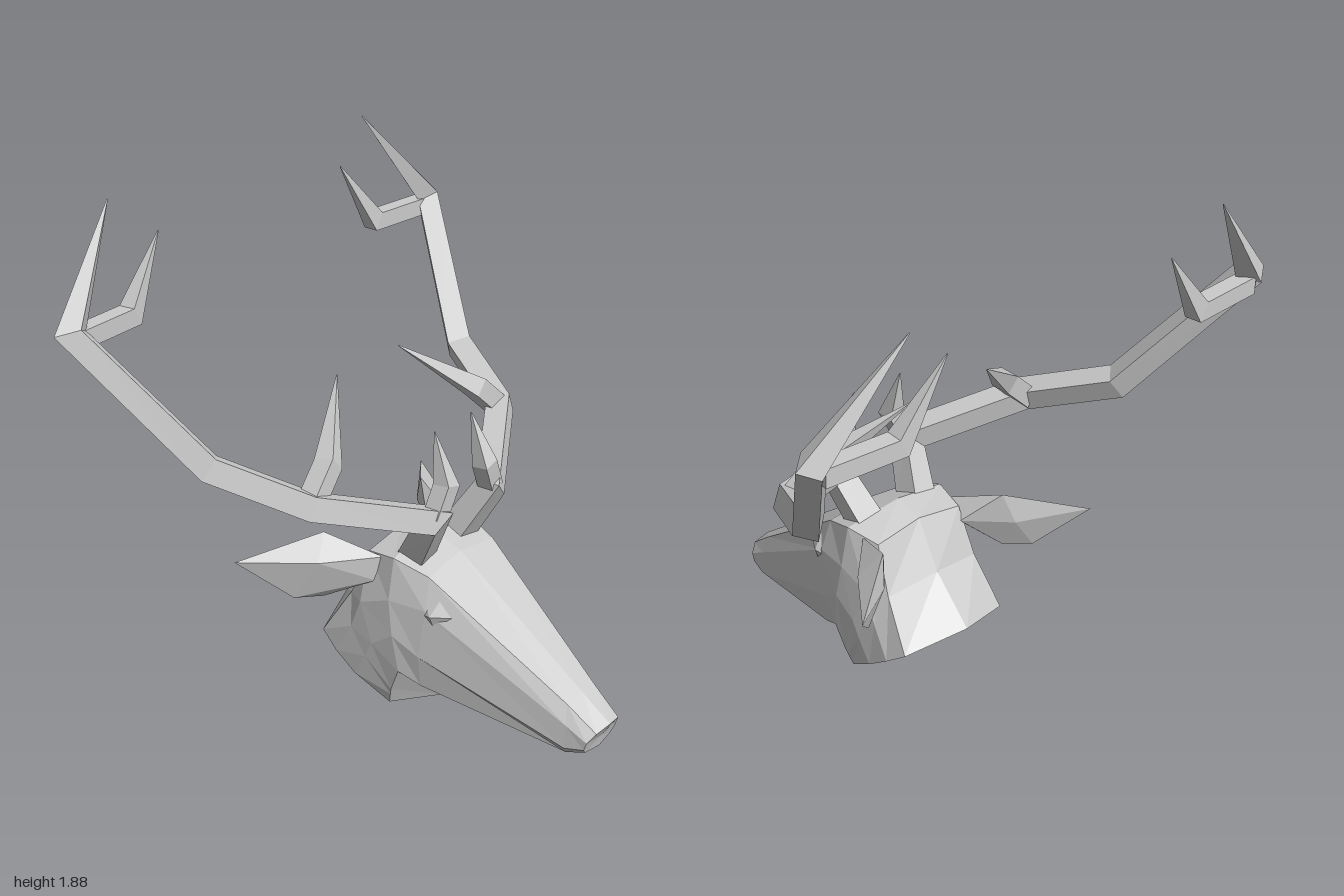
import * as THREE from 'three';
import { ConvexGeometry } from 'three/addons/geometries/ConvexGeometry.js';

const V = (x, y, z) => new THREE.Vector3(x, y, z);
const material = new THREE.MeshStandardMaterial({ color: 0xcccccc, flatShading: true });

// Faceted solid through closed rings of equal length, capped at both ends
function loft(rings) {
  const tris = [];
  const n = rings[0].length;
  for (let r = 0; r < rings.length - 1; r++) {
    for (let i = 0; i < n; i++) {
      const j = (i + 1) % n;
      const a = rings[r][i], b = rings[r][j], c = rings[r + 1][j], d = rings[r + 1][i];
      tris.push([a, b, c], [a, c, d]);
    }
  }
  const cap = (ring, flip) => {
    const mid = ring.reduce((s, p) => s.add(p), V(0, 0, 0)).divideScalar(n);
    ring.forEach((p, i) => {
      const q = ring[(i + 1) % n];
      tris.push(flip ? [mid, q, p] : [mid, p, q]);
    });
  };
  cap(rings[0], true);
  cap(rings[rings.length - 1], false);
  // turn the faces outward whichever way the rings run
  const volume = tris.reduce((s, [a, b, c]) => s + a.dot(b.clone().cross(c)), 0);
  const points = tris.flatMap(([a, b, c]) => (volume < 0 ? [a, c, b] : [a, b, c]));
  const geometry = new THREE.BufferGeometry().setFromPoints(points);
  geometry.computeVertexNormals();
  return geometry;
}

// Square bar along a path of [x, y, z, radius], mitred at the bends, ending in a point
function bar(path, side) {
  const pts = path.map(([x, y, z]) => V(x * side, y, z));
  const dirs = pts.slice(1).map((p, i) => p.clone().sub(pts[i]).normalize());
  const u = V(0, 0, 1).cross(dirs[0]).normalize();
  const v = dirs[0].clone().cross(u);
  let offsets = [[1, 1], [-1, 1], [-1, -1], [1, -1]].map(([a, b]) =>
    u.clone().multiplyScalar(a * Math.SQRT1_2).addScaledVector(v, b * Math.SQRT1_2));
  const rings = pts.map((p, i) => {
    const din = dirs[Math.max(i - 1, 0)], dout = dirs[Math.min(i, dirs.length - 1)];
    const m = din.clone().add(dout).normalize();
    offsets = offsets.map((o) => o.clone().addScaledVector(din, -o.dot(m) / din.dot(m)));
    const radius = path[i][3] ?? 0.002;
    return offsets.map((o) => p.clone().addScaledVector(o, radius));
  });
  return loft(rings);
}

// Half cross-sections from top centre round to bottom centre
const headSections = [
  // nose tip
  [[0, .15, .79], [.07, .14, .78], [.1, .11, .76], [.1, .08, .75], [.08, .06, .745], [0, .05, .75]],
  // muzzle
  [[0, .235, .675], [.085, .225, .67], [.112, .16, .68], [.115, .07, .68], [.085, .035, .67], [0, .018, .66]],
  // brow
  [[0, .62, .155], [.19, .595, .16], [.225, .48, .17], [.24, .3, .15], [.225, .18, .15], [0, .006, .19]],
  // crown and jaw corner
  [[0, .68, .01], [.218, .64, .03], [.25, .49, .03], [.26, .36, .05], [.25, .22, .07], [0, .01, .085]],
  // back of the skull
  [[0, .65, -.1], [.19, .62, -.1], [.245, .44, -.1], [.26, .3, -.04], [.24, .13, .03], [0, .01, .082]],
  // neck cut
  [[0, .31, -.355], [.23, .262, -.285], [.25, .21, -.21], [.255, .15, -.122], [.22, .06, .008], [0, .01, .08]],
];

// Full head ring from a half section
const mirrorSection = (half) => [
  ...half.map((p) => V(...p)),
  ...half.slice(1, -1).reverse().map(([x, y, z]) => V(-x, y, z)),
];

function headGeometry() {
  const rings = headSections.map(mirrorSection);
  // nape: between skull and neck cut, hollowed along the top
  const skull = rings[4], cut = rings[5];
  const nape = skull.map((p, i) => {
    const q = p.clone().lerp(cut[i], 0.38);
    q.y -= 0.15 * Math.max(0, q.y - 0.2);
    return q;
  });
  rings.splice(5, 0, nape);
  return loft(rings);
}

const antlerParts = {
  Beam: [[.12, .62, .05, .07], [.17, .805, .16, .06], [.54, .935, -.06, .06],
    [.7, 1.05, -.36, .06], [.95, 1.52, -.7, .055], [.662, 1.88, -.79]],
  BrowTine: [[.165, .81, .165, .045], [.112, .92, .175, .045], [.105, 1.1, .12]],
  MiddleTine: [[.54, .93, -.07, .05], [.42, 1.04, -.085, .05], [.172, 1.24, -.245]],
  TopTine: [[.93, 1.49, -.71, .045], [.65, 1.49, -.73, .045], [.48, 1.735, -.75]],
};

// Leaf-shaped ear: root, upper crest, lower lobe and tip
const earPoints = [
  [.2, .62, -.03], [.22, .53, -.05], [.18, .57, -.12], [.28, .69, -.23],
  [.36, .61, -.19], [.31, .457, -.21], [.39, .46, -.28], [.31, .58, -.27], [.535, .615, -.42],
];

// Low faceted eye: a rim sunk in the head around a raised centre
const eyePoints = [
  [.195, .47, .26], [.195, .52, .21], [.2, .51, .15], [.215, .46, .13], [.215, .42, .2], [.235, .47, .195],
];

export function createModel() {
  const model = new THREE.Group();
  model.name = 'stagHead';
  const add = (name, geometry, parent = model) => {
    const mesh = new THREE.Mesh(geometry, material);
    mesh.name = name;
    parent.add(mesh);
  };

  // Head and neck
  add('head', headGeometry());

  // Paired parts
  for (const [label, side] of [['left', 1], ['right', -1]]) {
    const hull = (points) => new ConvexGeometry(points.map(([x, y, z]) => V(x * side, y, z)));
    add(label + 'Ear', hull(earPoints));
    add(label + 'Eye', hull(eyePoints));
    const antler = new THREE.Group();
    antler.name = label + 'Antler';
    model.add(antler);
    for (const [part, path] of Object.entries(antlerParts)) add(label + part, bar(path, side), antler);
  }
  return model;
}
